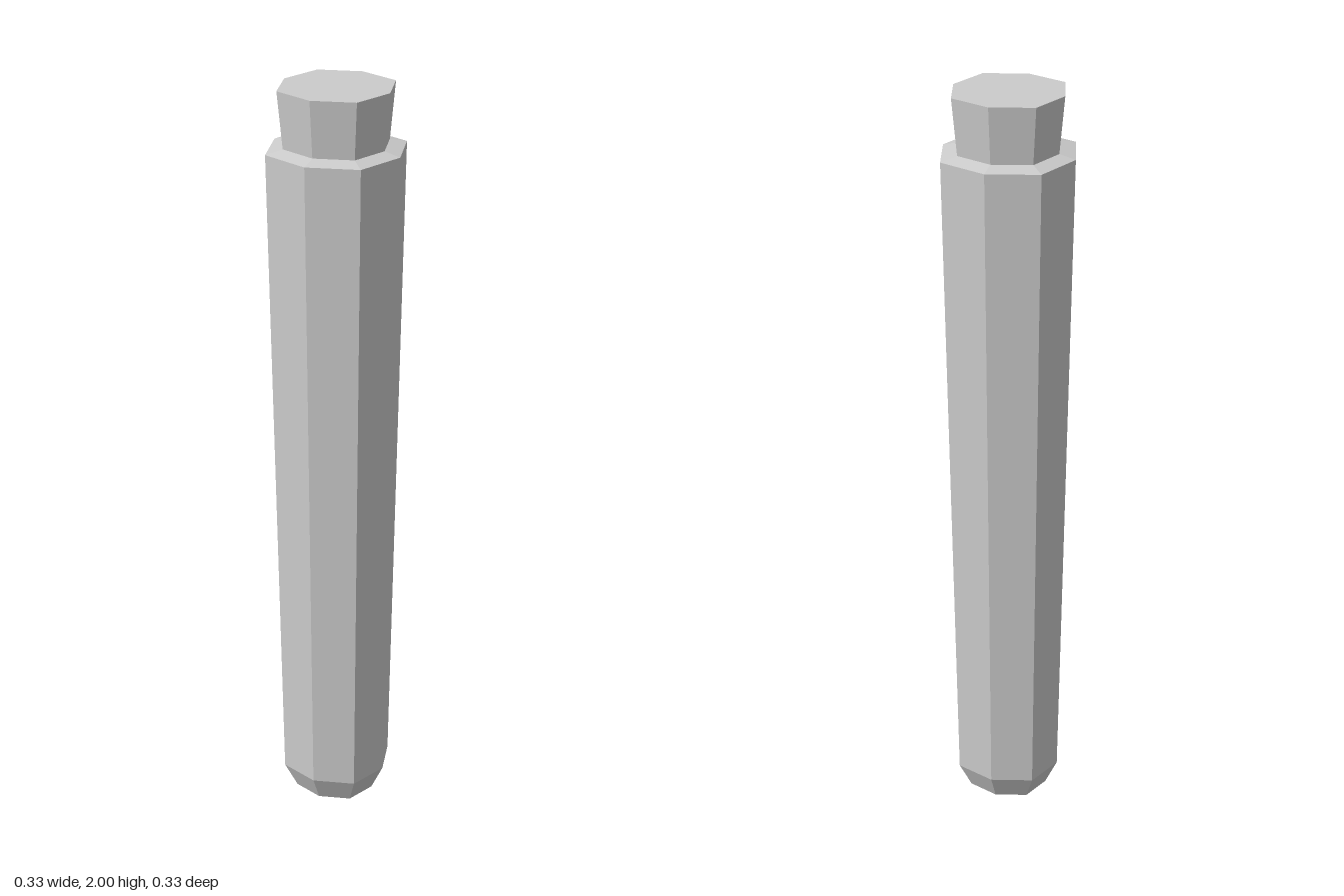
import * as THREE from 'three';

const SIDES = 8;
const START = THREE.MathUtils.degToRad(17);

// Eight-sided turned part; every second corner sits slightly further out.
function octagonal(name, profile, material) {
  const points = profile.map(([r, y]) => new THREE.Vector2(r, y));
  const geometry = new THREE.LatheGeometry(points, SIDES, START);
  const pos = geometry.attributes.position;
  for (let i = 0; i < pos.count; i++) {
    const corner = Math.floor(i / points.length);
    const k = corner % 2 ? 1.062 : 1;
    pos.setXYZ(i, pos.getX(i) * k, pos.getY(i), pos.getZ(i) * k);
  }
  const mesh = new THREE.Mesh(geometry, material);
  mesh.name = name;
  return mesh;
}

export function createModel() {
  const group = new THREE.Group();
  group.name = 'vial';
  const material = new THREE.MeshStandardMaterial({ color: 0xcccccc, flatShading: true });

  // Tapered tube with a rounded foot and a slightly sloped rim
  group.add(octagonal('tube', [
    [0, 0], [0.042, 0], [0.107, 0.035], [0.14, 0.105], [0.171, 1.845], [0.129, 1.855],
  ], material));

  // Stopper flaring towards its flat top
  group.add(octagonal('stopper', [
    [0.129, 1.855], [0.1425, 2], [0, 2],
  ], material));

  return group;
}
